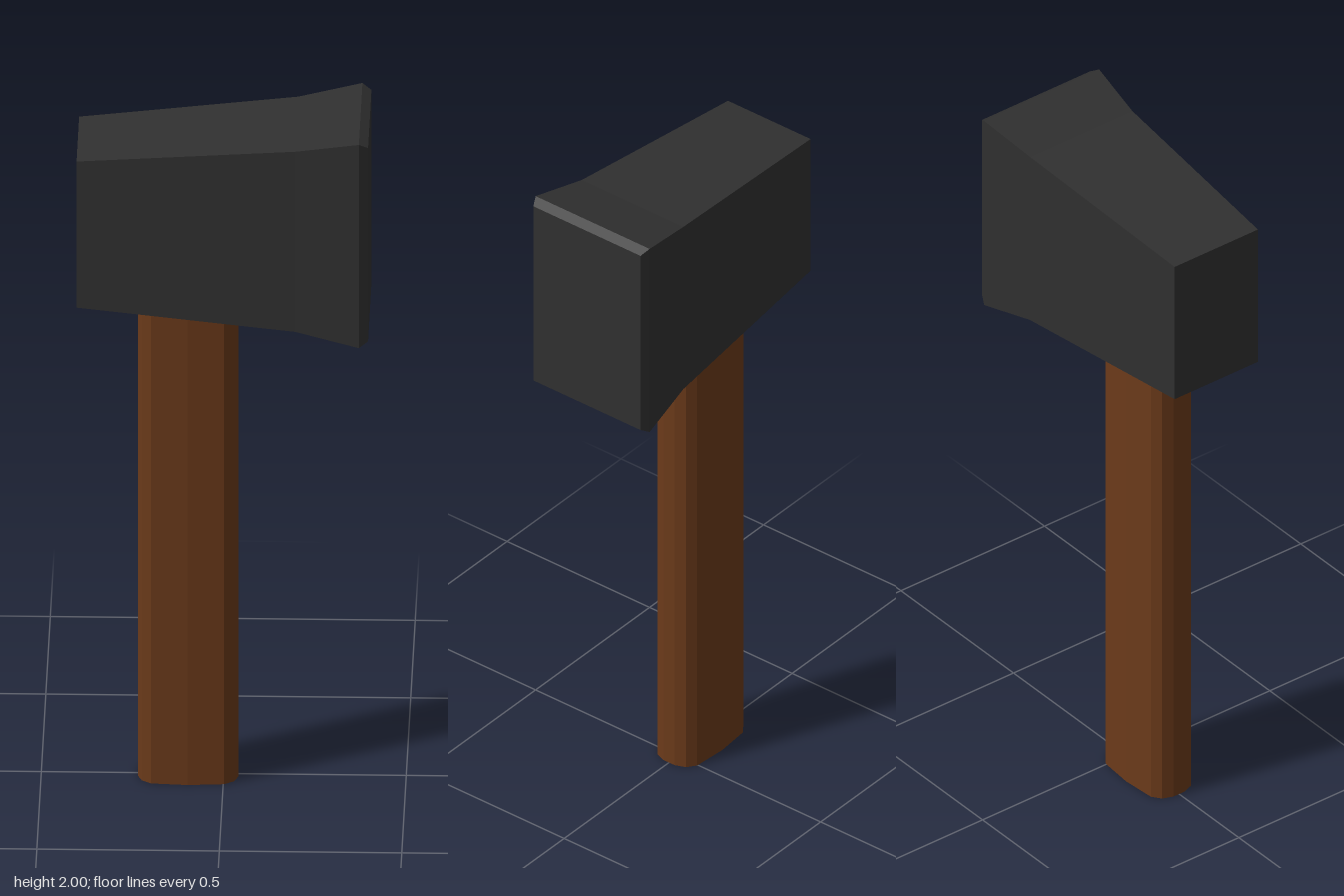
import * as THREE from 'three';

// Hammer head: a box with three segments along x, reshaped to four cross-sections
function makeHead() {
  // [x, bottom y, top y, half depth]
  const sections = [
    [-0.4, 1.473, 1.915, 0.145],
    [0.2, 1.422, 1.967, 0.178],
    [0.375, 1.385, 2.0, 0.2],
    [0.4, 1.4, 1.985, 0.188],
  ];
  const geometry = new THREE.BoxGeometry(3, 2, 2, 3, 1, 1);
  const pos = geometry.attributes.position;
  for (let i = 0; i < pos.count; i++) {
    const [x, bottom, top, depth] = sections[Math.round(pos.getX(i) + 1.5)];
    pos.setXYZ(i, x, pos.getY(i) > 0 ? top : bottom, Math.sign(pos.getZ(i)) * depth);
  }
  geometry.computeVertexNormals();
  const material = new THREE.MeshStandardMaterial({ color: 0x303030, flatShading: true });
  const head = new THREE.Mesh(geometry, material);
  head.name = 'head';
  return head;
}

// Handle: flattened oval outline, mirrored from one quarter and extruded upward
function makeHandle() {
  const quarter = [[0.1375, 0.02], [0.126, 0.05], [0.1, 0.069], [0, 0.077]];
  const half = [...quarter, ...quarter.slice(0, 3).reverse().map(([x, z]) => [-x, z])];
  const outline = [...half, ...half.map(([x, z]) => [-x, -z])];
  const shape = new THREE.Shape(outline.map(([x, z]) => new THREE.Vector2(x, z)));
  const geometry = new THREE.ExtrudeGeometry(shape, { depth: 1.6, bevelEnabled: false });
  geometry.rotateX(-Math.PI / 2);
  const material = new THREE.MeshStandardMaterial({ color: 0x6b3a1a, flatShading: true });
  const handle = new THREE.Mesh(geometry, material);
  handle.name = 'handle';
  handle.position.x = -0.0975;
  return handle;
}

export function createModel() {
  const model = new THREE.Group();
  model.name = 'hammer';
  model.add(makeHead(), makeHandle());
  return model;
}
